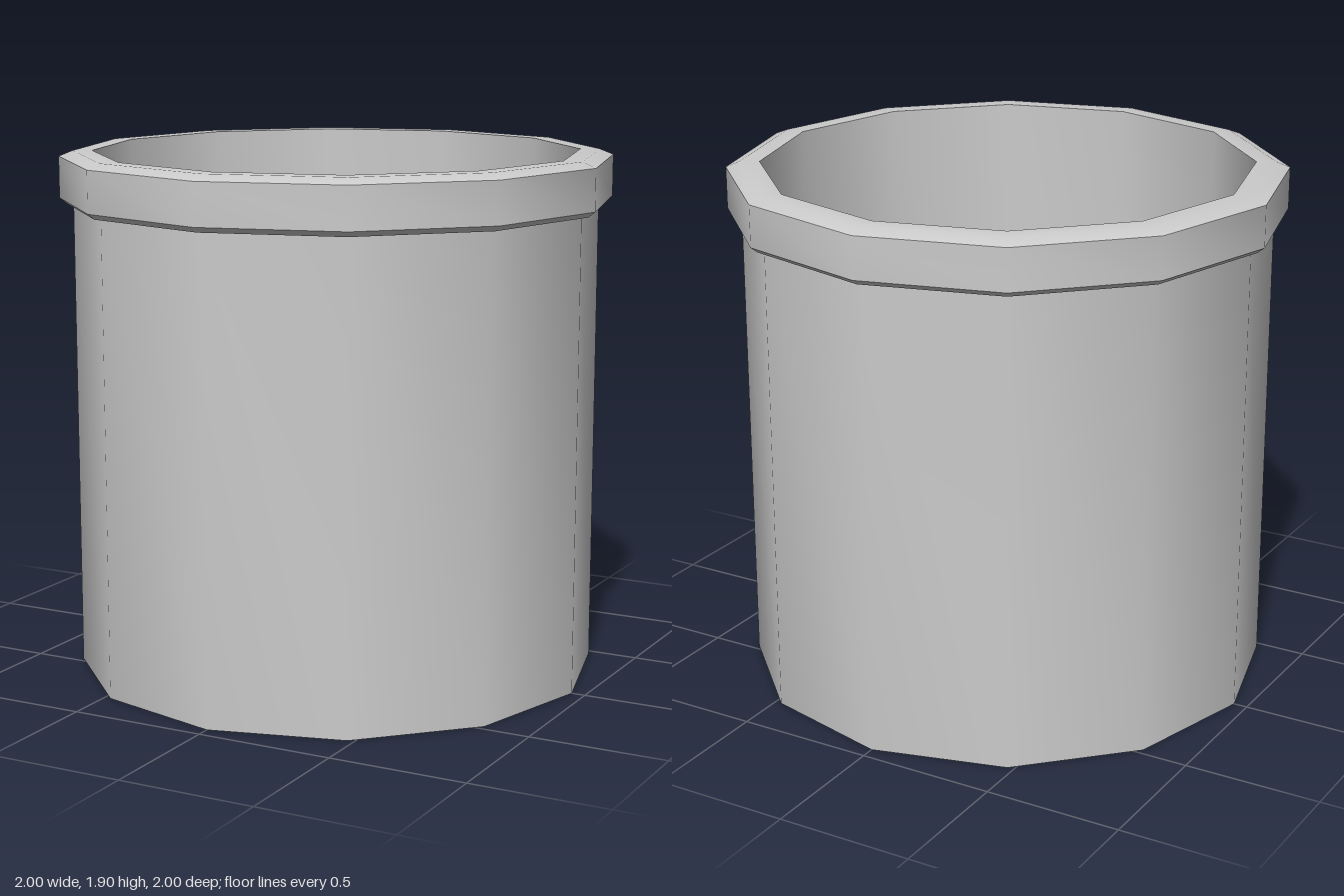
import * as THREE from 'three';
import { toCreasedNormals } from 'three/addons/utils/BufferGeometryUtils.js';

const SIDES = 12;
const CREASE = 0.54; // just above the 30 degree step between sides

// Turns a [radius, height] profile into a twelve-sided part
function turned(name, profile) {
  const points = profile.map(([r, y]) => new THREE.Vector2(r, y));
  const geometry = toCreasedNormals(new THREE.LatheGeometry(points, SIDES), CREASE);
  const mesh = new THREE.Mesh(geometry, new THREE.MeshStandardMaterial({ color: 0xcccccc }));
  mesh.name = name;
  return mesh;
}

export function createModel() {
  const group = new THREE.Group();
  group.name = 'openPot';

  // Outer wall with closed base
  group.add(turned('outerWall', [[0, 0], [0.95, 0], [0.95, 1.71]]));

  // Overhanging bevelled rim
  group.add(turned('rim', [
    [0.95, 1.71], [0.975, 1.71], [1, 1.73], [1, 1.88], [0.95, 1.9], [0.88, 1.9],
  ]));

  // Hollow inside: wall and floor
  group.add(turned('innerWall', [[0.88, 1.9], [0.88, 0.07], [0, 0.07]]));

  return group;
}
